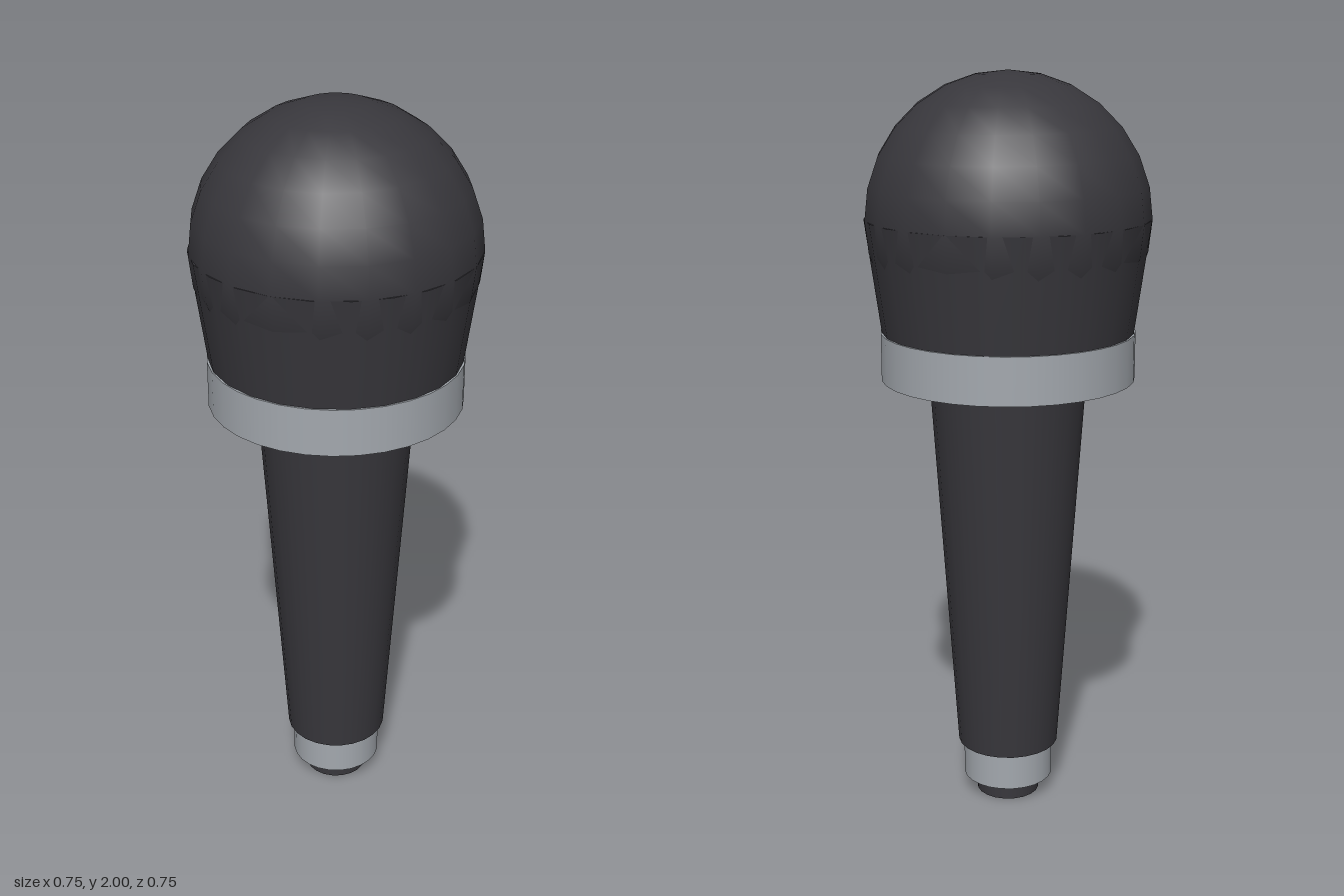
import * as THREE from 'three';

export function createModel() {
  const model = new THREE.Group();
  model.name = 'microphone';

  const charcoal = new THREE.MeshStandardMaterial({ color: 0x38373c });
  charcoal.name = 'charcoal';
  const silver = new THREE.MeshStandardMaterial({ color: 0xa3a8ae });
  silver.name = 'silver';

  const add = (name, geometry, material, y) => {
    const mesh = new THREE.Mesh(geometry, material);
    mesh.name = name;
    mesh.position.y = y;
    model.add(mesh);
  };

  // Upright capped cylinder or cone between two heights
  const turned = (name, material, y0, y1, r0, r1 = r0, sides = 24) =>
    add(name, new THREE.CylinderGeometry(r1, r0, y1 - y0, sides), material, (y0 + y1) / 2);

  // Tail plug, tail ring and tapering handle
  turned('tailPlug', charcoal, 0, 0.05, 0.087, 0.087, 20);
  turned('tailRing', silver, 0.05, 0.153, 0.124);
  turned('handle', charcoal, 0.153, 1.204, 0.139, 0.21);

  // Collar and the flared lower half of the head
  turned('collar', silver, 1.204, 1.33, 0.337, 0.337, 32);
  turned('headBase', charcoal, 1.33, 1.627, 0.333, 0.374);

  // Rounded head, dipping into the flared base
  add('headDome', new THREE.SphereGeometry(0.374, 20, 14), charcoal, 1.626);

  return model;
}
